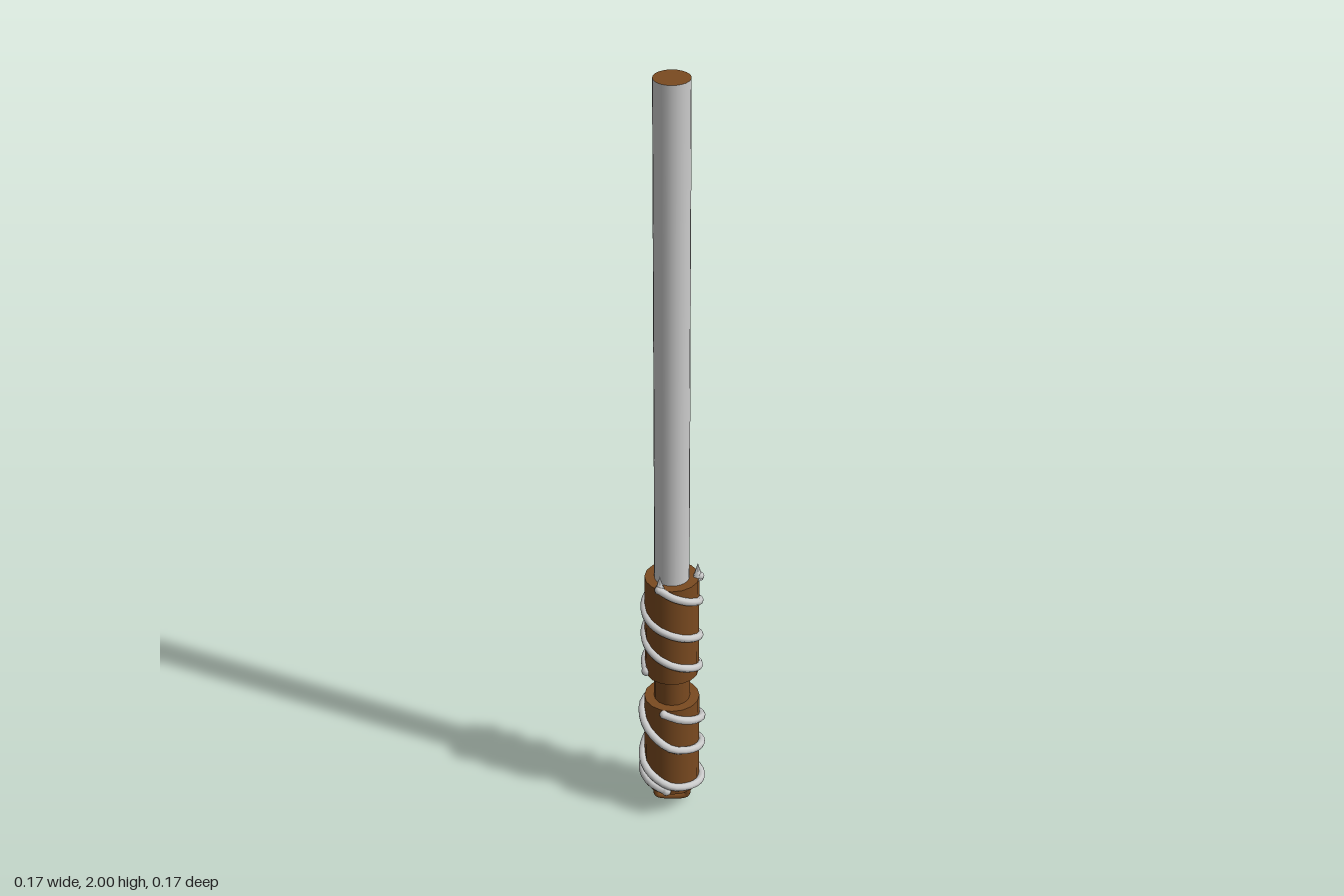
import * as THREE from 'three';

const brown = new THREE.MeshStandardMaterial({ color: 0x7a4a20 });
const grey = new THREE.MeshStandardMaterial({ color: 0xcccccc });

function add(parent, name, geometry, material) {
  const mesh = new THREE.Mesh(geometry, material);
  mesh.name = name;
  parent.add(mesh);
  return mesh;
}

// Point around the shaft: 0 degrees is the front, 90 is +x
function around(deg, y, r) {
  const a = THREE.MathUtils.degToRad(deg);
  return new THREE.Vector3(r * Math.sin(a), y, r * Math.cos(a));
}

// Winding vine through [degrees, height] stations, with rounded or pointed ends
function vine(parent, name, stations, r, thick, segments, pointed) {
  const group = new THREE.Group();
  group.name = name;
  const pts = [];
  for (let i = 0; i < stations.length - 1; i++) {
    const [a0, y0] = stations[i], [a1, y1] = stations[i + 1];
    const n = Math.max(1, Math.round((a1 - a0) / 30));
    for (let k = 0; k < n; k++) {
      const t = k / n;
      pts.push(around(a0 + (a1 - a0) * t, y0 + (y1 - y0) * t, r));
    }
  }
  const last = stations[stations.length - 1];
  pts.push(around(last[0], last[1], r));
  const curve = new THREE.CatmullRomCurve3(pts);
  add(group, 'vineStem', new THREE.TubeGeometry(curve, segments, thick, 8), grey);
  add(group, 'vineEnd', new THREE.SphereGeometry(thick * 1.2, 8, 6), grey).position.copy(pts[pts.length - 1]);
  add(group, 'vineStart', new THREE.SphereGeometry(thick * 1.1, 8, 6), grey).position.copy(pts[0]);
  if (pointed) {
    const tip = add(group, 'vineTip', new THREE.ConeGeometry(0.014, 0.045, 6), grey);
    tip.position.copy(around(stations[0][0], stations[0][1] + 0.015, r - 0.005));
  }
  parent.add(group);
}

export function createModel() {
  const model = new THREE.Group();
  model.name = 'wand';

  // Long shaft with a brown end
  add(model, 'shaft', new THREE.CylinderGeometry(0.043, 0.043, 1.32, 24, 1, true), grey).position.y = 1.34;
  const cap = add(model, 'shaftCap', new THREE.CircleGeometry(0.043, 24), brown);
  cap.rotation.x = -Math.PI / 2;
  cap.position.y = 2;

  // Two grips joined by a narrow neck
  for (const [name, r, y0, y1] of [
    ['upperGrip', 0.067, 0.41, 0.69],
    ['gripNeck', 0.045, 0.32, 0.42],
    ['lowerGrip', 0.069, 0.065, 0.33],
  ]) {
    add(model, name, new THREE.CylinderGeometry(r, r, y1 - y0, 16), brown).position.y = (y0 + y1) / 2;
  }

  // Two vines around each grip
  vine(model, 'upperVineA', [[92, 0.69], [270, 0.6], [360, 0.56], [650, 0.42]], 0.068, 0.01, 80, true);
  vine(model, 'upperVineB', [[-27, 0.69], [90, 0.62], [270, 0.52], [360, 0.47], [470, 0.415]], 0.068, 0.01, 80, true);
  vine(model, 'lowerVineA', [[-15, 0.322], [90, 0.267], [180, 0.22], [270, 0.145], [360, 0.095], [450, 0.075], [510, 0.078]], 0.075, 0.01, 40);
  vine(model, 'lowerVineB', [[-205, 0.322], [-90, 0.285], [0, 0.215], [90, 0.185], [180, 0.15], [270, 0.105], [350, 0.08]], 0.075, 0.01, 40);

  // Squared hanging loop at the bottom
  const loop = new THREE.CatmullRomCurve3([
    [-0.04, 0.07], [-0.04, 0.03], [-0.038, 0.013], [-0.028, 0.008],
    [0.028, 0.008], [0.038, 0.013], [0.04, 0.03], [0.04, 0.07],
  ].map(([x, y]) => new THREE.Vector3(x, y, 0)), false, 'centripetal');
  add(model, 'hangingLoop', new THREE.TubeGeometry(loop, 48, 0.008, 8), brown);

  return model;
}
